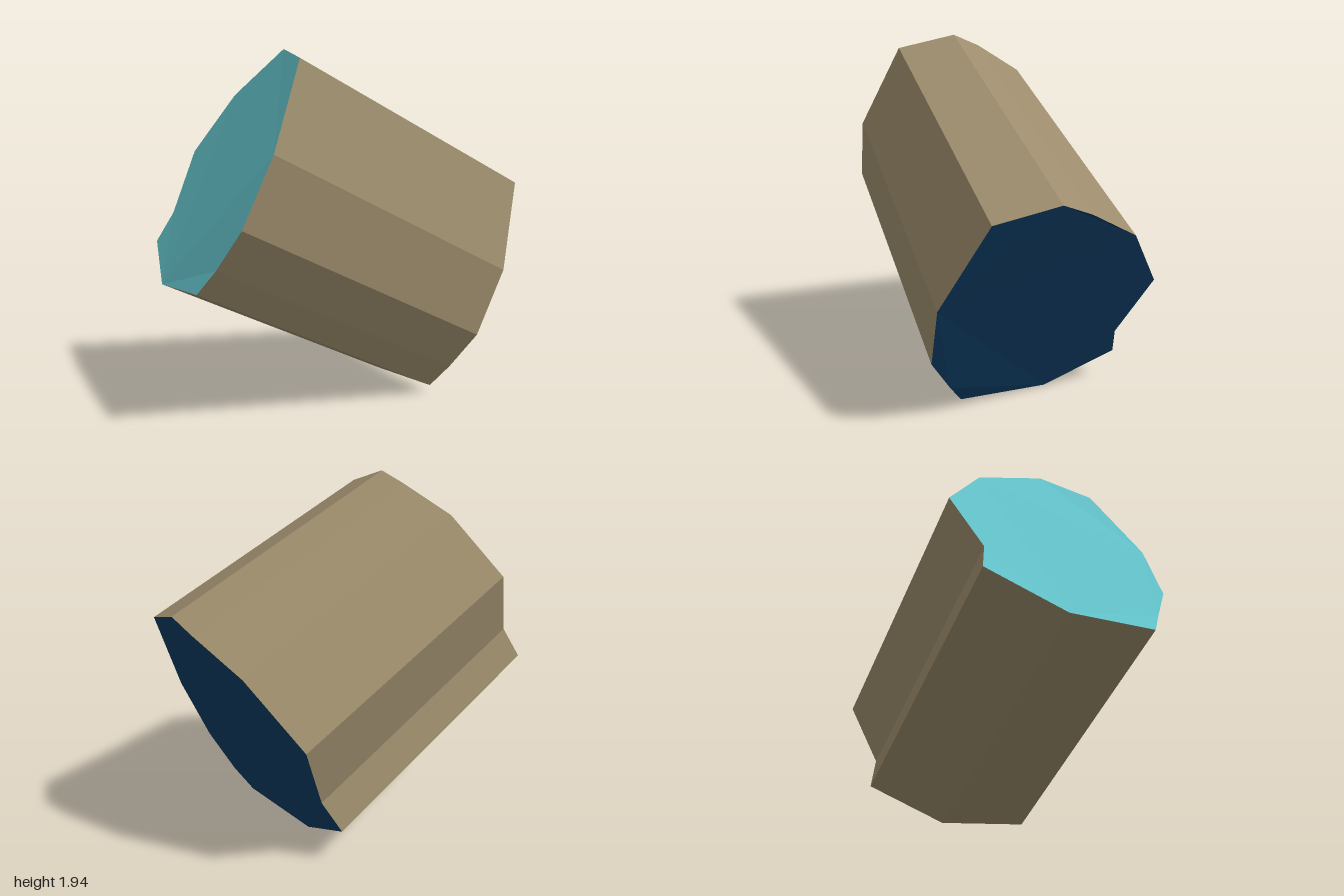
import * as THREE from 'three';

// Front outline, counter-clockwise as seen from the front
const front = [
  [0.02, 1.95, 0.37], [-0.14, 1.885, 0.36], [-0.45, 1.72, 0.395], [-0.725, 1.39, 0.52],
  [-0.645, 1.04, 0.71], [-0.71, 0.87, 0.79], [-0.335, 0.695, 0.94], [0.178, 0.74, 1.0],
  [0.275, 0.866, 0.945], [0.415, 1.07, 0.882], [0.46, 1.42, 0.73], [0.322, 1.88, 0.48],
].map((p) => new THREE.Vector3(...p));

// Back outline: the front one moved along the tilted axis and very slightly widened
const centre = new THREE.Vector3(-0.13, 1.29, 0.69);
const axis = new THREE.Vector3(0.25, -0.677, -1.355);
const back = front.map((p) => p.clone().sub(centre).multiplyScalar(1.018).add(centre).add(axis));

function facets(name, triangles, material) {
  const geometry = new THREE.BufferGeometry().setFromPoints(triangles.flat());
  geometry.computeVertexNormals();
  const mesh = new THREE.Mesh(geometry, material);
  mesh.name = name;
  return mesh;
}

export function createModel() {
  const material = (name, color) => {
    const m = new THREE.MeshStandardMaterial({ color });
    m.name = name;
    return m;
  };
  const tan = material('tan', 0x9c8c6c);
  const cyan = material('cyan', 0x66c8d0);
  const navy = material('navy', 0x0d3b62);

  // Flat side panels between the two outlines
  const sides = [];
  front.forEach((f, i) => {
    const j = (i + 1) % front.length;
    sides.push([f, back[i], back[j]], [f, back[j], front[j]]);
  });

  // End caps share one triangulation, reversed for the back
  const outline = front.map((p) => new THREE.Vector2(p.x, p.y));
  const faces = THREE.ShapeUtils.triangulateShape(outline, []);

  const group = new THREE.Group();
  group.name = 'tiltedPrism';
  group.add(
    facets('sidePanels', sides, tan),
    facets('frontCap', faces.map(([a, b, c]) => [front[a], front[b], front[c]]), cyan),
    facets('backCap', faces.map(([a, b, c]) => [back[a], back[c], back[b]]), navy),
  );
  return group;
}
